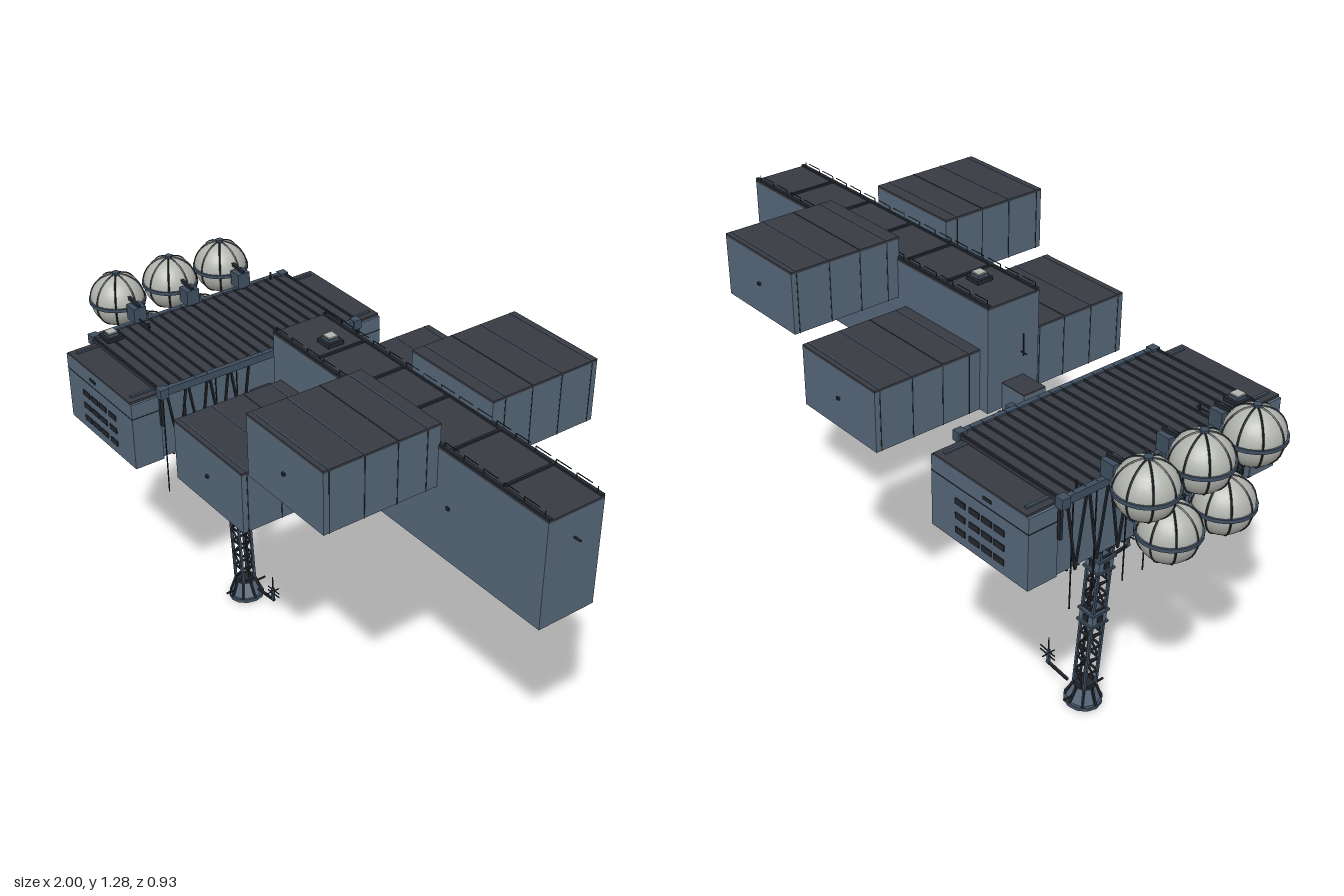
import * as THREE from 'three';

const mat = (name, color) => new THREE.MeshStandardMaterial({ name, color, flatShading: true });

export function createModel() {
  const hull = mat('hull blue grey', 0x566779);
  const roof = mat('roof charcoal', 0x373a42);
  const dark = mat('dark framework', 0x23282f);
  const steel = mat('steel blue fittings', 0x3f4f60);
  const pale = mat('pale tank', 0xb2b4ae);
  pale.flatShading = false;

  const root = new THREE.Group();
  root.name = 'station';
  const group = (name, parent = root) => {
    const g = new THREE.Group();
    g.name = name;
    parent.add(g);
    return g;
  };
  const add = (parent, name, geo, m, x = 0, y = 0, z = 0) => {
    const mesh = new THREE.Mesh(geo, m);
    mesh.name = name;
    mesh.position.set(x, y, z);
    parent.add(mesh);
    return mesh;
  };
  // box given by its minimum and maximum on each axis
  const box = (p, name, m, x0, x1, y0, y1, z0, z1) =>
    add(p, name, new THREE.BoxGeometry(x1 - x0, y1 - y0, z1 - z0), m, (x0 + x1) / 2, (y0 + y1) / 2, (z0 + z1) / 2);
  // square-section bar between two points
  const up = new THREE.Vector3(0, 1, 0);
  const bar = (p, name, m, a, b, t) => {
    const A = new THREE.Vector3(...a), B = new THREE.Vector3(...b), d = B.clone().sub(A);
    const mesh = add(p, name, new THREE.BoxGeometry(t, d.length(), t), m);
    mesh.position.copy(A).add(B).multiplyScalar(0.5);
    mesh.quaternion.setFromUnitVectors(up, d.normalize());
    return mesh;
  };

  // long main body
  const body = group('mainBody');
  box(body, 'bodyHull', hull, -0.18, 0.975, 0.88, 1.208, -0.093, 0.093);
  box(body, 'bodyRoof', roof, -0.18, 0.975, 1.208, 1.215, -0.093, 0.093);
  for (const x of [0.02, 0.2, 0.39, 0.6, 0.8]) box(body, 'roofSeam', dark, x - 0.004, x + 0.004, 1.215, 1.221, -0.09, 0.09);
  for (const s of [-1, 1]) {
    box(body, 'roofEdge', dark, -0.18, 0.975, 1.213, 1.221, s * 0.087 - 0.005, s * 0.087 + 0.005);
    for (let i = 0; i < 16; i++) {
      const x = -0.17 + i * 0.075;
      bar(body, 'railPost', dark, [x, 1.215, s * 0.087], [x, 1.233, s * 0.087], 0.002);
      if (i < 15) bar(body, 'rail', dark, [x, 1.233, s * 0.087], [x + 0.055, 1.233, s * 0.087], 0.002);
    }
    box(body, 'sideLamp', dark, 0.605, 0.615, 1.042, 1.052, s * 0.095 - 0.003, s * 0.095 + 0.003);
  }
  box(body, 'endLamp', dark, 0.975, 0.998, 1.128, 1.132, -0.003, 0.003);
  bar(body, 'whip', dark, [-0.19, 1.03, 0.03], [-0.19, 1.1, 0.03], 0.003);
  bar(body, 'whipArm', dark, [-0.205, 1.04, 0.03], [-0.18, 1.04, 0.03], 0.003);

  // roof hatches
  const hatch = (x, y, z) => {
    const g = group('roofHatch');
    box(g, 'hatchFrame', dark, x - 0.027, x + 0.027, y, y + 0.012, z - 0.027, z + 0.027);
    box(g, 'hatchCap', steel, x - 0.018, x + 0.018, y + 0.012, y + 0.022, z - 0.018, z + 0.018);
    box(g, 'hatchLight', pale, x - 0.015, x + 0.015, y + 0.022, y + 0.026, z - 0.015, z + 0.015);
  };
  hatch(-0.03, 1.217, 0);
  hatch(-0.735, 1.022, 0.32);

  // four side pods
  for (const [x0, x1, y0, y1] of [[-0.145, 0.193, 0.88, 1.074], [0.228, 0.562, 1.09, 1.282]]) {
    for (const s of [-1, 1]) {
      const g = group('sidePod');
      const zr = (a, b) => (s > 0 ? [a, b] : [-b, -a]);
      box(g, 'podHull', hull, x0, x1, y0, y1 - 0.007, ...zr(0.087, 0.458));
      box(g, 'podRoof', roof, x0, x1, y1 - 0.007, y1, ...zr(0.087, 0.458));
      for (const z of [0.13, 0.225, 0.33, 0.44]) {
        box(g, 'podSeam', dark, x0 - 0.001, x1 + 0.001, y0 - 0.001, y1 - 0.007, ...zr(z - 0.0015, z + 0.0015));
        box(g, 'podRoofSeam', z === 0.225 ? dark : steel, x0, x1, y1, y1 + 0.001, ...zr(z - 0.002, z + 0.002));
      }
      const xm = (x0 + x1) / 2, ym = (y0 + y1) / 2;
      box(g, 'podLamp', dark, xm - 0.005, xm + 0.005, ym - 0.004, ym + 0.004, ...zr(0.458, 0.465));
    }
  }

  // stepped connecting corridor
  const link = group('corridor');
  box(link, 'lowerCorridor', hull, -0.4, -0.27, 0.785, 0.895, -0.035, 0.04);
  box(link, 'upperCorridor', hull, -0.275, -0.18, 0.815, 0.96, -0.04, 0.04);
  box(link, 'corridorRoof', roof, -0.4, -0.275, 0.895, 0.899, -0.035, 0.04);
  box(link, 'corridorRoof', roof, -0.275, -0.18, 0.96, 0.964, -0.04, 0.04);
  box(link, 'corridorBox', steel, -0.285, -0.225, 0.84, 0.92, -0.065, -0.04);
  bar(link, 'corridorPipe', steel, [-0.39, 0.87, -0.05], [-0.18, 0.87, -0.05], 0.01);

  // cross block with truss walls
  const block = group('crossBlock');
  box(block, 'blockHull', hull, -0.77, -0.395, 0.78, 1.008, -0.36, 0.36);
  box(block, 'blockRoof', roof, -0.785, -0.375, 1.008, 1.018, -0.365, 0.365);
  for (let i = 0; i <= 18; i++) {
    const z = -0.36 + i * 0.04;
    box(block, 'roofSlat', dark, -0.785, -0.375, 1.018, 1.024, z - 0.003, z + 0.003);
    box(block, 'floorSlat', dark, -0.77, -0.395, 0.774, 0.78, z - 0.003, z + 0.003);
  }
  for (const [x, posts] of [[-0.782, [0.32, 0.24, 0.13, 0.055]], [-0.38, [0.355, 0.28, 0.17, 0.095]]]) {
    box(block, 'topBeam', steel, x - 0.008, x + 0.008, 1.0, 1.024, -0.365, 0.365);
    for (const s of [-1, 1]) {
      for (const z of posts) bar(block, 'hangingRod', dark, [x, 1.005, s * z], [x, 0.66, s * z], 0.003);
      for (let i = 0; i < 4; i++) {
        const z = 0.05 + i * 0.075;
        bar(block, 'trussBrace', dark, [x, 1.0, s * z], [x, 0.78, s * (z + 0.03)], 0.006);
        bar(block, 'trussBrace', dark, [x, 0.78, s * (z + 0.03)], [x, 1.0, s * (z + 0.065)], 0.006);
      }
      box(block, 'cornerBracket', steel, x - 0.014, x + 0.014, 0.995, 1.026, s * 0.355 - 0.014, s * 0.355 + 0.014);
      bar(block, 'cornerPost', dark, [x, 1.0, s * 0.362], [x, 0.9, s * 0.362], 0.01);
    }
  }
  for (const s of [-1, 1]) {
    const g = group('endRoom', block);
    const zr = (a, b) => (s > 0 ? [a, b] : [-b, -a]);
    box(g, 'endHull', hull, -0.773, -0.388, 0.777, 0.998, ...zr(0.36, 0.458));
    box(g, 'endRoof', roof, -0.765, -0.396, 0.998, 1.005, ...zr(0.36, 0.458));
    box(g, 'endSeam', dark, -0.774, -0.387, 0.948, 0.951, ...zr(0.36, 0.459));
    box(g, 'endLabelPlate', dark, -0.632, -0.6, 0.968, 0.977, ...zr(0.458, 0.461));
    for (const x of [-0.663, -0.614, -0.565, -0.508])
      for (const y of [0.815, 0.86, 0.905])
        box(g, 'window', dark, x - 0.02, x + 0.02, y - 0.009, y + 0.009, ...zr(0.458, 0.461));
    for (const x of [-0.74, -0.42]) box(g, 'roofClip', steel, x - 0.004, x + 0.004, 1.005, 1.01, ...zr(0.36, 0.44));
  }
  // small roof antennas
  for (const [x, z] of [[-0.77, 0.2], [-0.71, 0.2], [-0.77, -0.3]])
    bar(block, 'roofMast', dark, [x, 1.02, z], [x, 1.045, z], 0.005);
  bar(block, 'roofMastRail', dark, [-0.79, 1.035, 0.2], [-0.7, 1.035, 0.2], 0.004);

  // spherical tanks, three above and two below
  for (const [y, zs] of [[1.048, [-0.195, 0, 0.195]], [0.877, [-0.1, 0.1]]]) {
    for (const z of zs) {
      const g = group('tank');
      g.position.set(-0.907, y, z);
      add(g, 'tankShell', new THREE.SphereGeometry(0.086, 24, 16), pale);
      for (let i = 0; i < 4; i++) {
        const ring = add(g, 'tankRib', new THREE.TorusGeometry(0.086, 0.0028, 4, 32), dark);
        ring.rotation.y = (i * Math.PI) / 4 + 0.2;
      }
      add(g, 'tankBelt', new THREE.CylinderGeometry(0.091, 0.091, 0.011, 24), steel);
      for (const s of [-1, 1]) add(g, 'tankValve', new THREE.CylinderGeometry(0.012, 0.012, 0.014, 8), steel, 0, s * 0.086, 0);
      // mounting pipes back to the block
      box(g, 'tankMount', steel, 0.095, 0.14, -0.025, 0.025, -0.022, 0.022);
      for (const d of [-0.035, 0.035]) bar(g, 'tankPipe', dark, [0.06, d, 0], [0.14, d * 0.8, 0], 0.01);
    }
  }

  // leaning lattice mast
  const mast = group('mast');
  mast.position.set(-0.523, 0.005, 0);
  mast.rotation.z = 0.077;
  add(mast, 'footPlate', new THREE.CylinderGeometry(0.06, 0.06, 0.012, 12), steel, 0, 0.006, 0);
  add(mast, 'footCone', new THREE.CylinderGeometry(0.032, 0.054, 0.052, 8), hull, 0, 0.036, 0);
  add(mast, 'footCollar', new THREE.CylinderGeometry(0.036, 0.036, 0.01, 8), dark, 0, 0.066, 0);
  for (let i = 0; i < 8; i++) {
    const a = (i * Math.PI) / 4, c = Math.cos(a), s = Math.sin(a);
    bar(mast, 'footGusset', dark, [c * 0.055, 0.012, s * 0.055], [c * 0.034, 0.064, s * 0.034], 0.007);
  }
  const w = 0.023, step = 0.05;
  for (const [a, b] of [[1, 1], [-1, 1], [-1, -1], [1, -1]]) {
    bar(mast, 'mastLeg', steel, [a * w, 0.06, b * w], [a * w, 0.775, b * w], 0.008);
    // next corner around the square is (-b, a)
    for (let i = 0; i < 14; i++) {
      const y = 0.07 + i * step, A = [a * w, y, b * w];
      bar(mast, 'mastRung', dark, A, [-b * w, y, a * w], 0.006);
      if (a === b * (a * b)) continue;
    }
  }
  for (let i = 0; i < 14; i++) {
    const y = 0.07 + i * step, d = i % 2 ? 1 : -1;
    for (const s of [-1, 1]) bar(mast, 'mastDiagonal', dark, [d * w, y, s * w], [-d * w, y + step, s * w], 0.005);
  }
  bar(mast, 'mastCable', dark, [0.012, 0.06, -0.01], [0.012, 0.775, -0.01], 0.006);
  for (const y of [0.338, 0.54]) {
    box(mast, 'mastCollar', hull, -0.028, 0.028, y - 0.022, y + 0.022, -0.028, 0.028);
    for (const e of [-0.022, 0.022]) box(mast, 'collarFlange', steel, -0.032, 0.032, y + e - 0.004, y + e + 0.004, -0.034, 0.034);
    for (const s of [-1, 1]) {
      box(mast, 'collarPanel', dark, s * 0.03 - 0.002, s * 0.03 + 0.002, y - 0.01, y + 0.01, -0.01, 0.01);
      box(mast, 'collarPanel', dark, -0.01, 0.01, y - 0.01, y + 0.01, s * 0.03 - 0.002, s * 0.03 + 0.002);
    }
  }
  box(mast, 'mastHead', steel, -0.03, 0.03, 0.755, 0.775, -0.033, 0.033);

  // aerials on side arms
  const aerial = (x, y, z, dir) => {
    const g = group('aerial');
    g.position.set(x, y, z);
    g.rotation.y = dir;
    bar(g, 'aerialArm', dark, [0, 0, 0], [0.095, 0.012, 0], 0.008);
    bar(g, 'aerialPole', steel, [0.088, 0.01, 0], [0.088, 0.06, 0], 0.009);
    bar(g, 'aerialTip', dark, [0.088, 0.06, 0], [0.088, 0.105, 0], 0.003);
    for (const h of [0.035, 0.05]) bar(g, 'aerialCross', dark, [0.06, h, 0], [0.125, h + 0.006, 0], 0.003);
    bar(g, 'aerialCross', dark, [0.088, 0.045, -0.025], [0.088, 0.045, 0.025], 0.003);
  };
  aerial(-0.47, 0.05, -0.015, 0);
  aerial(-0.566, 0.535, 0.02, -Math.PI / 2);
  for (const s of [-1, 1]) bar(root, 'footLamp', dark, [-0.525, 0.04, s * 0.045], [-0.525, 0.04, s * 0.08], 0.005);

  return root;
}
